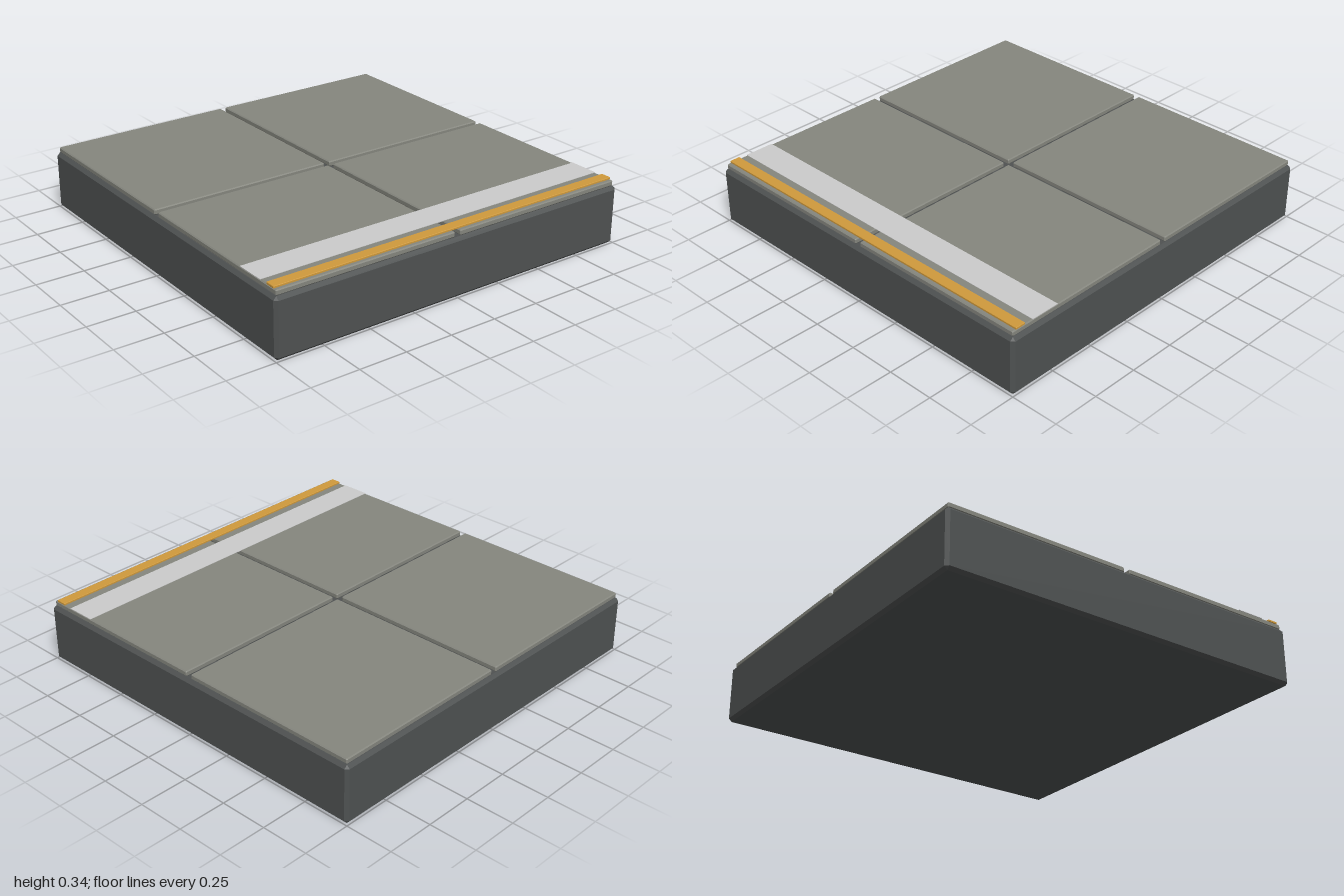
import * as THREE from 'three';
import { ConvexGeometry } from 'three/addons/geometries/ConvexGeometry.js';

// Box with flat chamfers on every edge
function chamferBox(w, h, d, c) {
  const points = [];
  for (const sx of [-1, 1]) for (const sy of [-1, 1]) for (const sz of [-1, 1]) {
    const x = sx * w / 2, y = sy * h / 2, z = sz * d / 2;
    points.push(
      new THREE.Vector3(x, y - sy * c, z - sz * c),
      new THREE.Vector3(x - sx * c, y, z - sz * c),
      new THREE.Vector3(x - sx * c, y - sy * c, z)
    );
  }
  return new ConvexGeometry(points);
}

export function createModel() {
  const group = new THREE.Group();
  const material = (color) => new THREE.MeshStandardMaterial({ color, flatShading: true });
  const add = (name, geometry, mat, x, y, z) => {
    const mesh = new THREE.Mesh(geometry, mat);
    mesh.name = name;
    mesh.position.set(x, y, z);
    group.add(mesh);
  };

  // Thick foundation slab
  add('foundationSlab', chamferBox(2, 0.303, 2, 0.016), material(0x4f5252), 0, 0.1515, 0);

  // Four paving tiles separated by a cross-shaped joint
  const tile = chamferBox(0.97, 0.028, 0.97, 0.005);
  const tileMaterial = material(0x85867e);
  for (const [side, sx] of [['Left', 1], ['Right', -1]])
    for (const [end, sz] of [['front', 1], ['back', -1]])
      add(`${end}${side}Tile`, tile, tileMaterial, sx * 0.5, 0.317, sz * 0.5);

  // Thin pale band lying on the tiles
  add('paleBand', new THREE.BoxGeometry(1.97, 0.003, 0.155), material(0xbcbcbc), 0, 0.3315, 0.787);

  // Raised yellow edge strip
  add('edgeStrip', chamferBox(1.97, 0.012, 0.055, 0.002), material(0xd09a3c), 0, 0.335, 0.938);

  return group;
}
